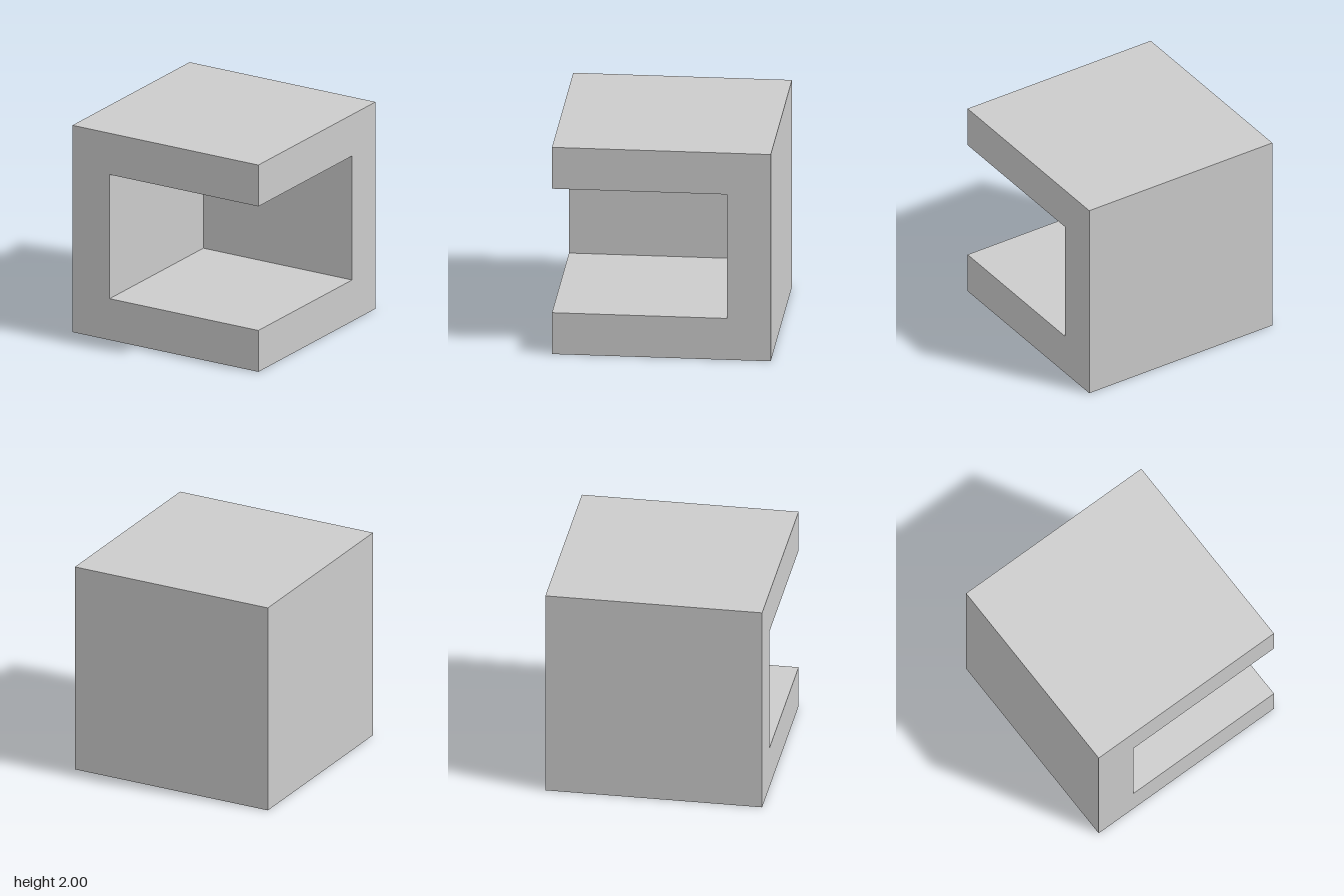
import * as THREE from 'three';

const SIZE = 2;      // outer cube edge
const WALL = 0.4;    // thickness of slabs and walls

export function createModel() {
  const group = new THREE.Group();
  const material = new THREE.MeshStandardMaterial({ color: 0xcccccc, flatShading: true });

  const add = (name, geometry, y) => {
    const mesh = new THREE.Mesh(geometry, material);
    mesh.name = name;
    mesh.position.y = y;
    group.add(mesh);
  };

  // Bottom and top slabs
  const slab = new THREE.BoxGeometry(SIZE, WALL, SIZE);
  add('bottomSlab', slab, WALL / 2);
  add('topSlab', slab, SIZE - WALL / 2);

  // L-shaped wall along the back and the -x side, drawn in plan and extruded upwards
  const h = SIZE / 2, inner = h - WALL;
  const plan = new THREE.Shape([
    [-h, -h], [-inner, -h], [-inner, inner], [h, inner], [h, h], [-h, h],
  ].map(([x, y]) => new THREE.Vector2(x, y)));
  const wall = new THREE.ExtrudeGeometry(plan, { depth: SIZE - 2 * WALL, bevelEnabled: false });
  wall.rotateX(-Math.PI / 2);
  add('cornerWall', wall, WALL);

  return group;
}
